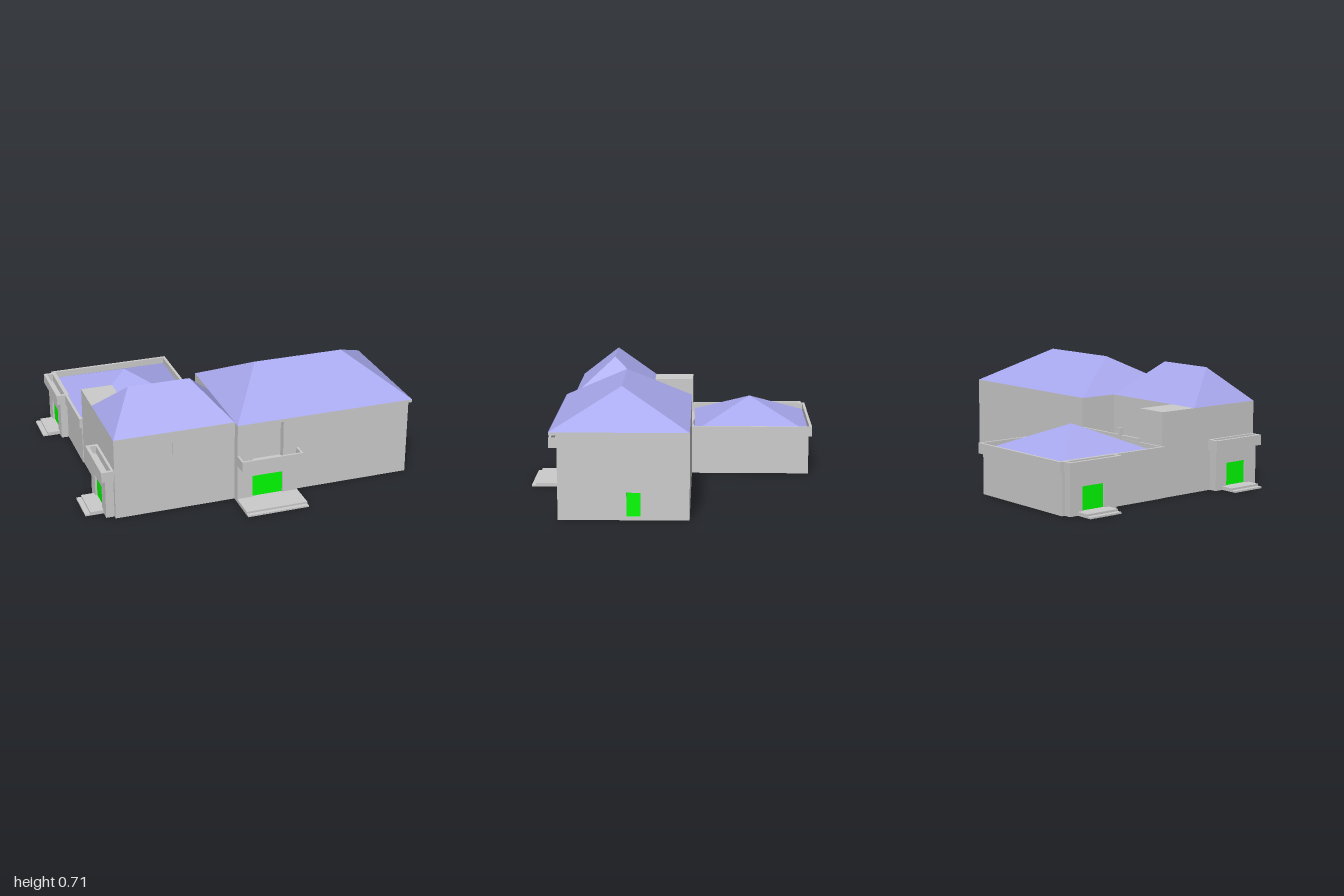
import * as THREE from 'three';
import { ConvexGeometry } from 'three/addons/geometries/ConvexGeometry.js';

const wallMat = new THREE.MeshStandardMaterial({ color: 0xcccccc });
const roofMat = new THREE.MeshStandardMaterial({ color: 0xa8a8ee });
const doorMat = new THREE.MeshStandardMaterial({ color: 0x00ff00 });

export function createModel() {
  const model = new THREE.Group();

  function add(name, geometry, material = wallMat, parent = model) {
    const mesh = new THREE.Mesh(geometry, material);
    mesh.name = name;
    parent.add(mesh);
    return mesh;
  }

  // Box given by its limits on each axis
  function box(name, [x0, x1], [y0, y1], [z0, z1], material = wallMat, parent = model) {
    const g = new THREE.BoxGeometry(x1 - x0, y1 - y0, z1 - z0);
    g.translate((x0 + x1) / 2, (y0 + y1) / 2, (z0 + z1) / 2);
    return add(name, g, material, parent);
  }

  // Rectangle outline for shapes and holes
  function rect(Type, a0, a1, b0, b1) {
    const r = new Type();
    r.moveTo(a0, b0);
    r.lineTo(a1, b0);
    r.lineTo(a1, b1);
    r.lineTo(a0, b1);
    r.closePath();
    return r;
  }

  // Flat slab in the xy plane with rectangular openings
  function slab([a0, a1], [b0, b1], holes, depth) {
    const s = rect(THREE.Shape, a0, a1, b0, b1);
    for (const h of holes) s.holes.push(rect(THREE.Path, ...h));
    return new THREE.ExtrudeGeometry(s, { depth, bevelEnabled: false });
  }

  // Raised rim around a rectangle, standing between y0 and y1
  function rim(name, [x0, x1], [y0, y1], [z0, z1], t, parent = model) {
    const g = slab([x0, x1], [-z1, -z0], [[x0 + t, x1 - t, -z1 + t, -z0 - t]], y1 - y0);
    g.rotateX(-Math.PI / 2);
    g.translate(0, y0, 0);
    return add(name, g, wallMat, parent);
  }

  // Hipped roof; equal ridge ends make a pyramid
  function hipRoof(name, [x0, x1], [z0, z1], base, [r0, r1], ridgeZ, top) {
    const pts = [[x0, base, z0], [x1, base, z0], [x1, base, z1], [x0, base, z1], [r0, top, ridgeZ]];
    if (r1 !== r0) pts.push([r1, top, ridgeZ]);
    return add(name, new ConvexGeometry(pts.map((p) => new THREE.Vector3(...p))), roofMat);
  }

  // Main block with an eave overhanging its front
  box('mainWalls', [-0.11, 0.985], [0, 0.485], [-0.11, 0.632]);
  box('mainEave', [-0.11, 1], [0.485, 0.503], [-0.11, 0.678]);
  hipRoof('mainRoof', [-0.11, 1], [-0.11, 0.678], 0.503, [0.137, 0.698], 0.283, 0.71);

  // End wall with a recessed double door
  const end = slab([-0.632, 0.11], [0, 0.485], [[-0.245, -0.165, 0.02, 0.16]], 0.015);
  end.rotateY(Math.PI / 2);
  end.translate(0.985, 0, 0);
  add('endWall', end);
  for (const z of [0.165, 0.2055]) box('endDoorLeaf', [0.98, 0.99], [0.02, 0.16], [z, z + 0.0395], doorMat);

  // Front entrance: wall with door and balcony opening, balcony and steps
  const entrance = new THREE.Group();
  entrance.name = 'frontEntrance';
  model.add(entrance);
  const front = slab([-0.11, 0.27], [0, 0.485],
    [[-0.015, 0.175, 0.022, 0.16], [-0.015, 0.175, 0.25, 0.484]], 0.046);
  front.translate(0, 0, 0.632);
  add('entranceWall', front, wallMat, entrance);
  box('frontDoor', [-0.015, 0.175], [0.022, 0.16], [0.64, 0.668], doorMat, entrance);
  box('balconyFloor', [-0.11, 0.27], [0.243, 0.25], [0.67, 0.76], wallMat, entrance);
  box('balconyFrontRail', [-0.11, 0.27], [0.243, 0.305], [0.747, 0.76], wallMat, entrance);
  for (const x of [-0.11, 0.258]) {
    box('balconySideRail', [x, x + 0.012], [0.243, 0.305], [0.678, 0.75], wallMat, entrance);
  }
  box('lowerStep', [-0.11, 0.27], [0, 0.01], [0.67, 0.865], wallMat, entrance);
  box('upperStep', [-0.11, 0.27], [0.01, 0.022], [0.67, 0.84], wallMat, entrance);

  // Side wing, with a flat-topped block and a sunken terrace behind it
  box('wingWalls', [-0.84, -0.11], [0, 0.503], [0.14, 0.627]);
  hipRoof('wingRoof', [-0.84, -0.11], [0.14, 0.627], 0.503, [-0.68, -0.307], 0.384, 0.71);
  box('wingBlock', [-0.84, -0.645], [0, 0.503], [-0.11, 0.14]);
  box('terraceBase', [-0.645, -0.11], [0, 0.245], [-0.11, 0.14]);
  box('terraceRail', [-0.645, -0.11], [0.245, 0.325], [-0.12, -0.105]);
  box('terracePost', [-0.485, -0.465], [0.245, 0.37], [-0.125, -0.105]);
  box('wallFin', [-0.492, -0.486], [0.325, 0.44], [0.62, 0.632]);

  // Rear annex: low pyramid roof behind a projecting parapet
  box('annexWalls', [-0.845, -0.1], [0, 0.25], [-0.845, -0.11]);
  rim('annexParapet', [-0.86, -0.08], [0.243, 0.305], [-0.865, -0.105], 0.017);
  box('annexRoofBase', [-0.85, -0.09], [0.243, 0.264], [-0.855, -0.11]);
  hipRoof('annexRoof', [-0.843, -0.097], [-0.848, -0.115], 0.264, [-0.467, -0.467], -0.48, 0.43);

  // Two matching porches on the side
  for (const zc of [0.437, -0.659]) {
    const porch = new THREE.Group();
    porch.name = 'sidePorch';
    porch.position.z = zc;
    model.add(porch);
    const wall = slab([-0.165, 0.165], [0, 0.243], [[-0.078, 0.078, 0.022, 0.16]], 0.055);
    wall.rotateY(-Math.PI / 2);
    wall.translate(-0.835, 0, 0);
    add('porchWall', wall, wallMat, porch);
    box('porchDoor', [-0.878, -0.85], [0.022, 0.16], [-0.078, 0.078], doorMat, porch);
    box('porchCanopy', [-0.915, -0.835], [0.243, 0.255], [-0.183, 0.183], wallMat, porch);
    rim('porchParapet', [-0.915, -0.835], [0.25, 0.305], [-0.183, 0.183], 0.02, porch);
    box('porchLowerStep', [-1, -0.885], [0, 0.01], [-0.11, 0.11], wallMat, porch);
    box('porchUpperStep', [-0.97, -0.885], [0.01, 0.022], [-0.11, 0.11], wallMat, porch);
  }

  return model;
}
